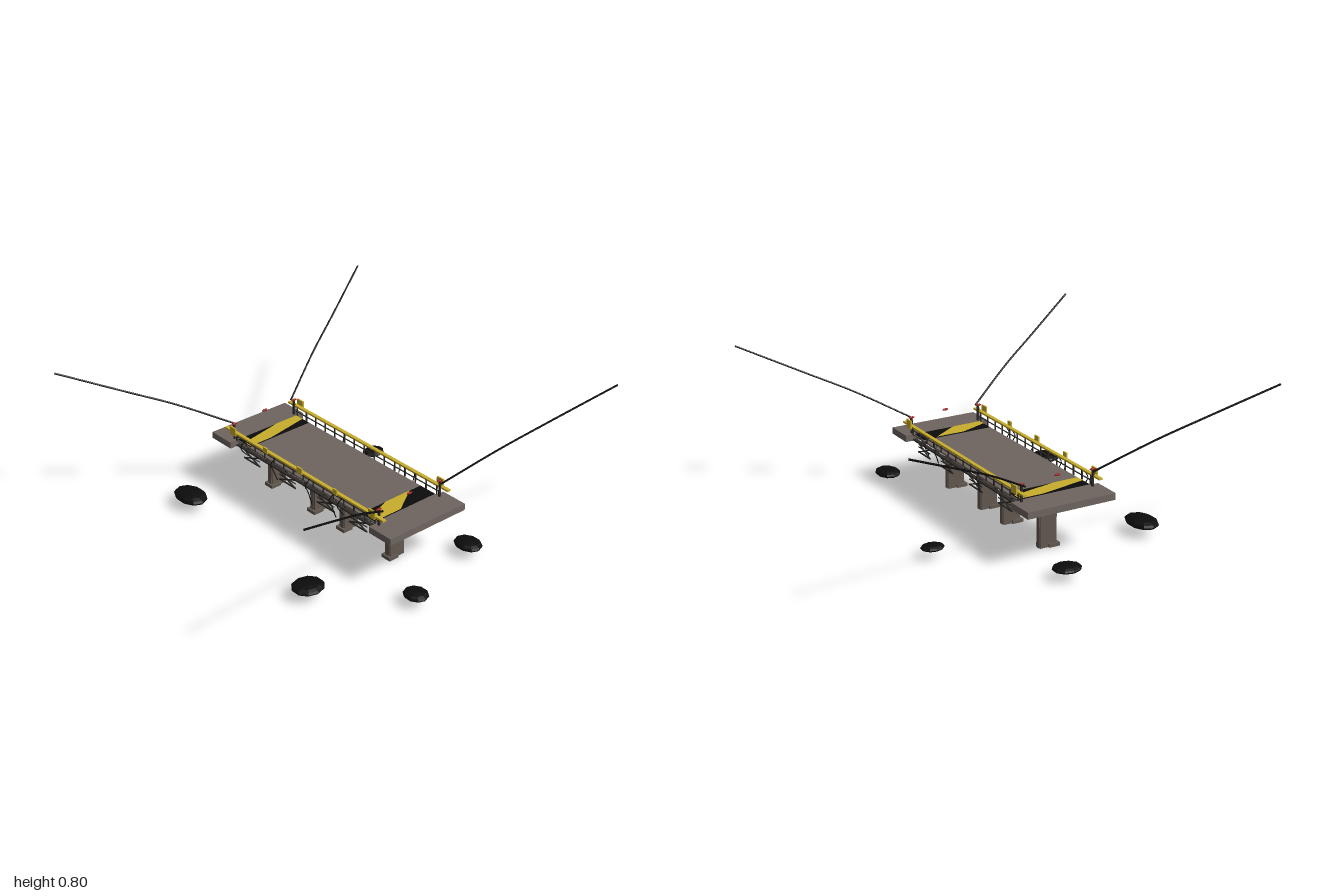
import * as THREE from 'three';

const mat = (name, color) => {
  const m = new THREE.MeshStandardMaterial({ color });
  m.name = name;
  return m;
};

export function createModel() {
  const model = new THREE.Group();
  model.name = 'brokenBridge';
  const concrete = mat('concrete', 0x6e655f);
  const pierGrey = mat('pierGrey', 0x625850);
  const steel = mat('darkSteel', 0x2e2b28);
  const yellow = mat('safetyYellow', 0xc8ae2c);
  const black = mat('black', 0x0c0c0c);
  const red = mat('lampRed', 0x9c1a1a);
  yellow.side = THREE.DoubleSide;
  for (const m of [concrete, pierGrey, steel, black, red]) m.flatShading = true;

  const add = (name, geo, material, x = 0, y = 0, z = 0) => {
    const mesh = new THREE.Mesh(geo, material);
    mesh.name = name;
    mesh.position.set(x, y, z);
    model.add(mesh);
    return mesh;
  };
  const box = (name, w, h, d, x, y, z, material) =>
    add(name, new THREE.BoxGeometry(w, h, d), material, x, y, z);
  const V = (p) => new THREE.Vector3(...p);
  const wire = (name, points, radius, material = black, segments = 14) =>
    add(name, new THREE.TubeGeometry(new THREE.CatmullRomCurve3(points.map(V)), segments, radius, 6), material);
  // Straight square strut between two points
  const strut = (name, a, b, t, material) => {
    const p = V(a), q = V(b);
    const m = box(name, t, t, p.distanceTo(q), 0, 0, 0, material);
    m.position.copy(p).add(q).multiplyScalar(0.5);
    m.lookAt(q);
  };

  // Deck and end slabs
  box('deck', 1.08, 0.01, 0.4, 0, 0.3, 0, concrete);
  for (const s of [-1, 1]) box('endSlab', 0.152, 0.035, 0.49, s * 0.61, 0.287, 0, concrete);

  // Girders under the deck
  for (const z of [-0.195, -0.1, 0.1, 0.195]) box('girder', 1.08, 0.008, 0.02, 0, 0.276, z, steel);
  for (let i = 0; i < 7; i++) {
    box('crossBeam', 0.008, 0.02, 0.39, -0.45 + i * 0.15, 0.286, 0, steel);
  }

  // Piers with one-sided footings
  for (const x of [-0.46, -0.115, 0.113, 0.455]) {
    box('pierCore', 0.024, 0.295, 0.1, x, 0.148, 0, pierGrey);
    for (const s of [-1, 1]) box('pierFlange', 0.008, 0.295, 0.092, x + s * 0.015, 0.148, 0, pierGrey);
    box('footing', 0.06, 0.018, 0.06, x, 0.009, 0.03, pierGrey);
  }

  // Cross-braced frames below both deck edges
  for (const z of [-0.203, 0.203]) {
    for (const x of [-0.41, -0.125, 0.17, 0.41]) {
      const l = x - 0.06, r = x + 0.06;
      strut('brace', [l, 0.275, z], [r, 0.228, z], 0.006, steel);
      strut('brace', [l, 0.228, z], [r, 0.275, z], 0.006, steel);
      strut('braceChord', [l - 0.005, 0.228, z], [r + 0.005, 0.228, z], 0.006, steel);
      strut('braceChord', [l - 0.005, 0.255, z], [r + 0.005, 0.255, z], 0.004, steel);
    }
  }

  // Railings
  for (const s of [-1, 1]) {
    const z = s * 0.212;
    box('topRail', 1.215, 0.009, 0.02, 0, 0.355, z, yellow);
    box('midRail', 1.08, 0.004, 0.005, 0, 0.328, s * 0.203, steel);
    for (let i = 0; i < 15; i++) {
      box('railPost', 0.006, 0.055, 0.006, -0.532 + i * 0.076, 0.328, s * 0.203, steel);
    }
  }

  // Warning plates on the rails
  const plate = (x, size, z) => box('warningPlate', size, size, 0.008, x, 0.367, z, yellow);
  for (const x of [-0.532, 0.532]) for (const s of [-1, 1]) plate(x, 0.045, s * 0.226);
  plate(0, 0.036, 0.226);
  for (const x of [-0.267, 0.267]) plate(x, 0.03, 0.226);

  // Hazard panels: black plate with a yellow diagonal band
  const bands = {
    '-0.48': [[-0.049, -0.194], [0.002, -0.194], [0.049, 0.06], [0.049, 0.194], [0.002, 0.194], [-0.049, -0.06]],
    '0.475': [[-0.049, -0.194], [0, -0.194], [0.049, 0.0], [0.049, 0.194], [0.01, 0.194], [-0.049, 0.04]],
  };
  bands['0.475'] = [[-0.049, -0.12], [0.049, 0.03], [0.049, 0.194], [0.01, 0.194], [-0.049, 0.04]];
  for (const [x, pts] of Object.entries(bands)) {
    box('hazardPanel', 0.098, 0.004, 0.39, +x, 0.307, 0, black);
    const shape = new THREE.Shape(pts.map(([a, b]) => new THREE.Vector2(a, -b)));
    add('hazardStripe', new THREE.ShapeGeometry(shape), yellow, +x, 0.3105, 0).rotation.x = -Math.PI / 2;
  }

  // Corner anchors, lamps and long stay cables
  const lamp = (x, y, z) =>
    add('lamp', new THREE.SphereGeometry(1, 8, 6), red, x, y, z).scale.set(0.007, 0.006, 0.018);
  for (const sx of [-1, 1]) {
    lamp(sx * 0.552, 0.402, 0);
    for (const sz of [-1, 1]) {
      box('anchorPost', 0.01, 0.085, 0.01, sx * 0.555, 0.345, sz * 0.2, steel);
      lamp(sx * 0.553, 0.392, sz * 0.2);
      wire('stayCable', [[0.57, 0.385, 0.19], [0.7, 0.538, 0.46], [0.8, 0.645, 0.68], [0.95, 0.8, 1]]
        .map(([x, y, z]) => [sx * x, y, sz * z]), 0.005, black, 24);
    }
  }

  // Loose wires hanging over the deck edges
  const loose = [[-0.44, 1, 0.26], [-0.2, 1, 0.22], [0.07, 1, 0.2], [0.25, 1, 0.21], [0.31, 1, 0.25],
    [-0.185, -1, 0.23], [0.24, -1, 0.24], [0.345, -1, 0.25]];
  for (const [x, s, end] of loose) {
    wire('looseWire', [[x, 0.35, s * 0.218], [x - 0.012, 0.31, s * 0.24],
      [x - 0.008, 0.28, s * 0.228], [x + 0.005, end, s * 0.21]], 0.0025);
  }
  for (const [x, z] of [[-0.22, -0.09], [0.27, -0.08], [-0.02, 0.1]]) {
    wire('hangingWire', [[x, 0.28, z], [x + 0.01, 0.24, z * 1.35], [x, 0.2, z * 0.8]], 0.003);
  }

  // Flat dark boulders around the bridge: x, y, z and radii
  const boulders = [
    [-0.84, 0.06, -0.125, 0.064, 0.02, 0.075],
    [-0.57, 0.067, 0.485, 0.105, 0.028, 0.075],
    [-0.305, 0.056, -0.545, 0.05, 0.017, 0.062],
    [0.455, 0.064, 0.56, 0.078, 0.023, 0.086],
    [0.685, 0.06, -0.28, 0.08, 0.023, 0.064],
    [0.835, 0.06, 0.215, 0.068, 0.021, 0.06],
  ];
  for (const [x, y, z, rx, ry, rz] of boulders) {
    add('boulder', new THREE.SphereGeometry(1, 10, 8), black, x, y, z).scale.set(rx, ry, rz);
  }
  return model;
}
